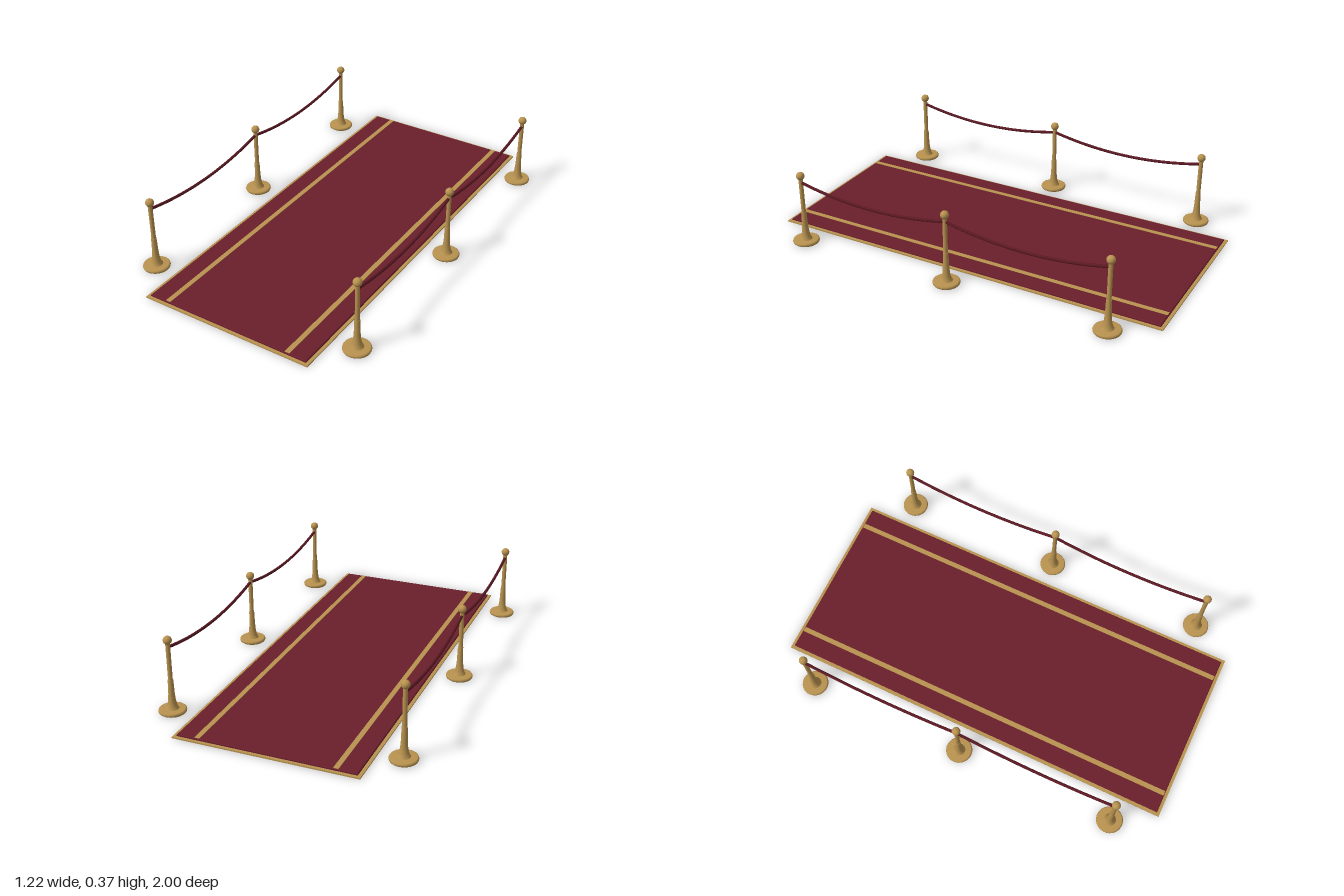
import * as THREE from 'three';

const gold = new THREE.MeshStandardMaterial({ color: 0xb8924f });
const red = new THREE.MeshStandardMaterial({ color: 0x6a1f2b });
const ropeRed = new THREE.MeshStandardMaterial({ color: 0x5a1822 });

const POST_X = 0.547, POST_Z = [-0.795, 0, 0.795], ROPE_Y = 0.32;

function add(parent, name, geometry, material, x = 0, y = 0, z = 0) {
  const mesh = new THREE.Mesh(geometry, material);
  mesh.name = name;
  mesh.position.set(x, y, z);
  parent.add(mesh);
  return mesh;
}

// Flat slab with a small chamfer round its upper edge
function carpetGeometry(w, d, bottom, top, bevel) {
  const geo = new THREE.BoxGeometry(w, top - bottom, d, 1, 2, 1);
  const p = geo.attributes.position, h = (top - bottom) / 2;
  for (let i = 0; i < p.count; i++) {
    const y = p.getY(i);
    if (y > h * 0.5) {
      p.setX(i, p.getX(i) - Math.sign(p.getX(i)) * bevel);
      p.setZ(i, p.getZ(i) - Math.sign(p.getZ(i)) * bevel);
    } else if (y > -h * 0.5) p.setY(i, h - bevel);
  }
  const flat = geo.toNonIndexed();
  flat.computeVertexNormals();
  return flat.translate(0, (top + bottom) / 2, 0);
}

function makePost() {
  const post = new THREE.Group();
  post.name = 'post';
  // Rounded disc base
  const base = [[0, 0], [0.058, 0], [0.062, 0.003], [0.064, 0.009], [0.062, 0.015], [0.057, 0.018], [0, 0.019]];
  add(post, 'base', new THREE.LatheGeometry(base.map(([r, y]) => new THREE.Vector2(r, y)), 32), gold);
  // Flared foot running into the pole
  const foot = [[0.032, 0.016], [0.026, 0.024], [0.021, 0.038], [0.017, 0.06], [0.0145, 0.09], [0.0125, 0.16], [0.0105, 0.161]];
  add(post, 'foot', new THREE.LatheGeometry(foot.map(([r, y]) => new THREE.Vector2(r, y)), 24), gold);
  add(post, 'pole', new THREE.CylinderGeometry(0.0105, 0.0105, 0.32, 24), gold, 0, 0.178, 0);
  // Ball finial
  add(post, 'finial', new THREE.SphereGeometry(0.02, 24, 16), gold, 0, 0.353, 0);
  return post;
}

export function createModel() {
  const model = new THREE.Group();
  model.name = 'carpetWithRopeBarriers';

  // Gold border mat, raised carpet and inlaid stripes
  add(model, 'border', new THREE.BoxGeometry(0.866, 0.006, 2), gold, 0, 0.003, 0);
  add(model, 'carpet', carpetGeometry(0.834, 1.97, 0.001, 0.015, 0.003), red);
  for (const s of [-1, 1]) {
    add(model, 'stripe', new THREE.BoxGeometry(0.024, 0.003, 1.964), gold, s * 0.32, 0.0148, 0);
  }

  // Barriers along both sides
  for (const s of [-1, 1]) {
    const barrier = new THREE.Group();
    barrier.name = s > 0 ? 'leftBarrier' : 'rightBarrier';
    barrier.position.x = s * POST_X;
    for (const z of POST_Z) {
      const post = makePost();
      post.position.z = z;
      barrier.add(post);
    }
    // Sagging ropes between neighbouring posts
    for (let i = 0; i < 2; i++) {
      const mid = (POST_Z[i] + POST_Z[i + 1]) / 2;
      const curve = new THREE.QuadraticBezierCurve3(
        new THREE.Vector3(0, ROPE_Y, POST_Z[i]),
        new THREE.Vector3(0, ROPE_Y - 0.09, mid),
        new THREE.Vector3(0, ROPE_Y, POST_Z[i + 1]));
      add(barrier, 'rope', new THREE.TubeGeometry(curve, 32, 0.007, 12), ropeRed);
    }
    model.add(barrier);
  }
  return model;
}
